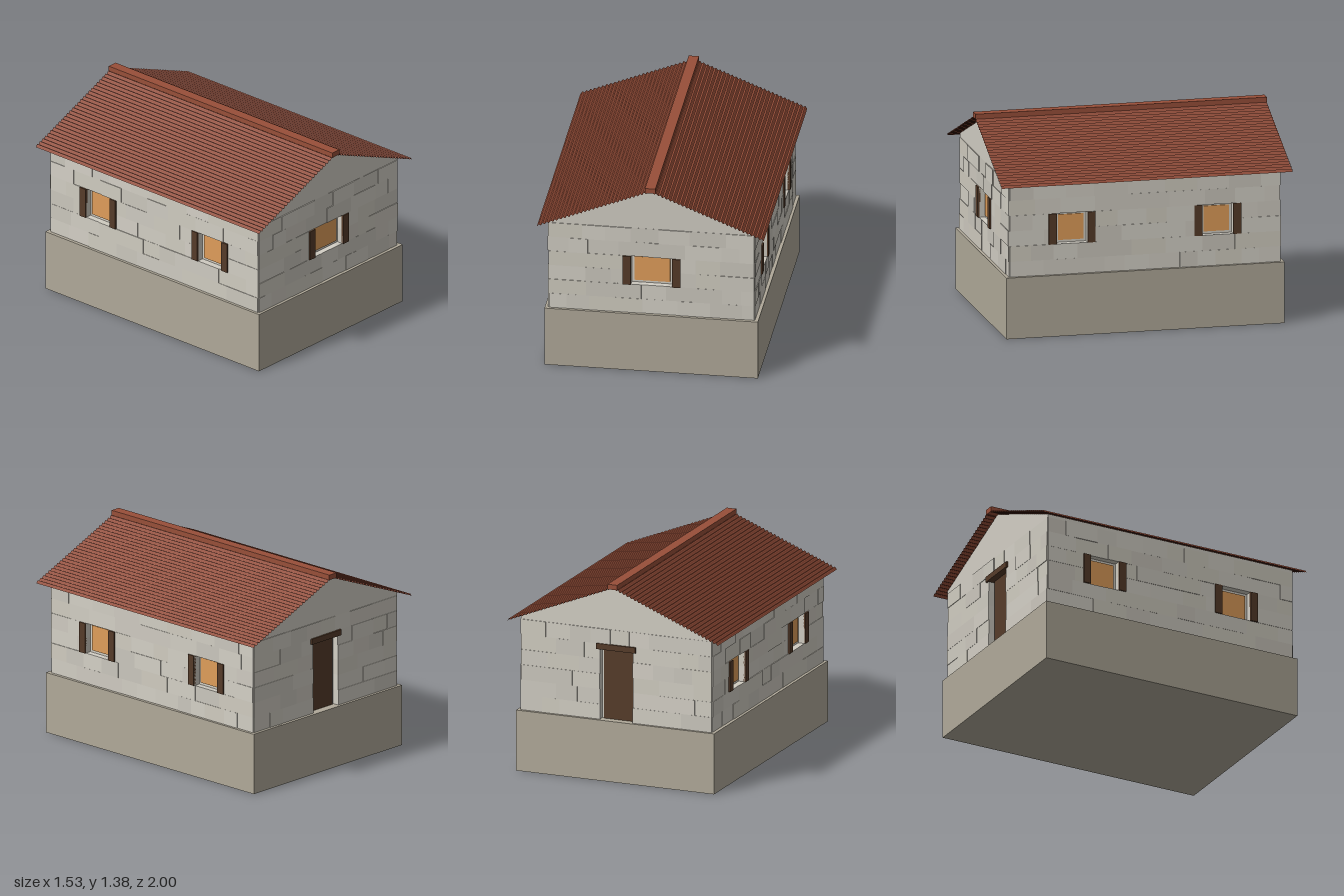
import * as THREE from 'three';

const mat = (color, extra = {}) => new THREE.MeshStandardMaterial({ color, ...extra });
const BASE = mat(0xb0a999), WALL = mat(0xd2cec4), WOOD = mat(0x553b29), PANE = mat(0xdf9d5a);
const TILE = mat(0x934c37, { side: THREE.DoubleSide, flatShading: true });
const RIDGE = mat(0x984f39);
const STONES = [0xd2cec4, 0xd4d0c6, 0xcfcbc1, 0xd0ccc0, 0xcbc7bd].map((c) => mat(c));

const HX = 0.695, HZ = 0.93;             // half width and half length of the walls
const FOOT = 0.42, COURSE = 0.105, ROWS = 6, EAVE = FOOT + COURSE * ROWS;
const RIDGE_Y = 1.355, SLOPE = 0.403;
const DEPTH = 0.04;                      // wall skin, and so the depth of the openings

let seed = 7;
const rand = () => (seed = (seed * 16807) % 2147483647) / 2147483647;

function box(parent, name, material, w, h, d, x, y, z) {
  const m = new THREE.Mesh(new THREE.BoxGeometry(w, h, d), material);
  m.name = name;
  m.position.set(x, y, z);
  parent.add(m);
  return m;
}

// One course of stones of uneven width and relief between u0 and u1
function stoneRun(wall, u0, u1, y) {
  let u = u0;
  while (u < u1 - 0.001) {
    let w = 0.12 + rand() * 0.14;
    if (u1 - u - w < 0.08) w = u1 - u;
    const out = 0.001 + rand() * 0.006;
    const stone = STONES[Math.floor(rand() * STONES.length)];
    box(wall, 'wallStone', stone, w, COURSE, DEPTH + out, u + w / 2, y + COURSE / 2, (out - DEPTH) / 2);
    u += w;
  }
}

// A wall facing local +z, its outer plane at z = 0, with stones laid around the openings
function makeWall(name, half, openings) {
  const wall = new THREE.Group();
  wall.name = name;
  for (let r = 0; r < ROWS; r++) {
    const y = FOOT + r * COURSE;
    let u = -half;
    for (const o of openings) {
      if (r < o.row0 || r >= o.row1) continue;
      stoneRun(wall, u, o.u - o.half, y);
      u = o.u + o.half;
    }
    stoneRun(wall, u, half, y);
  }
  return wall;
}

const windowOpening = (u, half) => ({ u, half, row0: 2, row1: 4 });

// Recessed pane with a shutter on each side
function addWindow(wall, u, half, shutterW) {
  const y = FOOT + 3 * COURSE;
  const g = new THREE.Group();
  g.name = 'window';
  box(g, 'windowPane', PANE, (half - 0.02) * 2, 0.175, 0.008, u, y, -DEPTH + 0.004);
  for (const s of [-1, 1]) {
    box(g, 'shutter', WOOD, shutterW, 0.21, 0.02, u + s * (half + shutterW / 2), y, 0.004);
  }
  wall.add(g);
}

export function createModel() {
  const house = new THREE.Group();
  house.name = 'house';

  // Plinth, and the core behind the wall stones
  box(house, 'plinth', BASE, 1.44, FOOT, 1.91, 0, FOOT / 2, 0);
  box(house, 'wallCore', WALL, 2 * (HX - DEPTH), EAVE - FOOT, 2 * (HZ - DEPTH), 0, (FOOT + EAVE) / 2, 0);

  // Front wall with one wide window
  const front = makeWall('frontWall', HX - 0.003, [windowOpening(0, 0.14)]);
  addWindow(front, 0, 0.14, 0.055);
  front.position.z = HZ;

  // Back wall with the door and its lintel
  const back = makeWall('backWall', HX - 0.003, [{ u: 0, half: 0.12, row0: 0, row1: 5 }]);
  box(back, 'door', WOOD, 0.21, 0.49, 0.008, 0, FOOT + 0.245, -DEPTH + 0.004);
  box(back, 'doorLintel', WOOD, 0.285, 0.04, 0.055, 0, 0.928, -0.0125);
  back.position.z = -HZ;
  back.rotation.y = Math.PI;
  house.add(front, back);

  // Side walls with two small windows each
  for (const s of [-1, 1]) {
    const side = makeWall(s > 0 ? 'leftWall' : 'rightWall', HZ - 0.003,
      [windowOpening(-0.5, 0.107), windowOpening(0.5, 0.107)]);
    for (const u of [-0.5, 0.5]) addWindow(side, u, 0.107, 0.053);
    side.position.x = s * HX;
    side.rotation.y = s * Math.PI / 2;
    house.add(side);
  }

  // Gable block from the eaves up to the ridge
  const shoulder = RIDGE_Y - SLOPE * HX;
  const profile = new THREE.Shape([
    [-HX, EAVE], [HX, EAVE], [HX, shoulder], [0, RIDGE_Y], [-HX, shoulder],
  ].map(([x, y]) => new THREE.Vector2(x, y)));
  const gable = new THREE.Mesh(
    new THREE.ExtrudeGeometry(profile, { depth: 2 * HZ, bevelEnabled: false }), WALL);
  gable.name = 'gables';
  gable.position.z = -HZ;
  house.add(gable);

  // Corrugated roof sheet, folded over the ridge
  const ribs = 28, steps = 6, halfRoof = 0.765;
  const sheet = new THREE.PlaneGeometry(2 * halfRoof, 2, 2 * ribs * steps, 1).rotateX(-Math.PI / 2);
  const p = sheet.attributes.position;
  for (let i = 0; i < p.count; i++) {
    const x = Math.abs(p.getX(i));
    const wave = 0.006 * (1 - Math.cos((x / halfRoof) * ribs * Math.PI * 2));
    p.setY(i, RIDGE_Y - SLOPE * x + 0.001 + wave);
  }
  sheet.computeVertexNormals();
  const roof = new THREE.Mesh(sheet, TILE);
  roof.name = 'roof';
  house.add(roof);
  box(house, 'ridgeCap', RIDGE, 0.07, 0.035, 2, 0, 1.3675, 0);

  return house;
}
